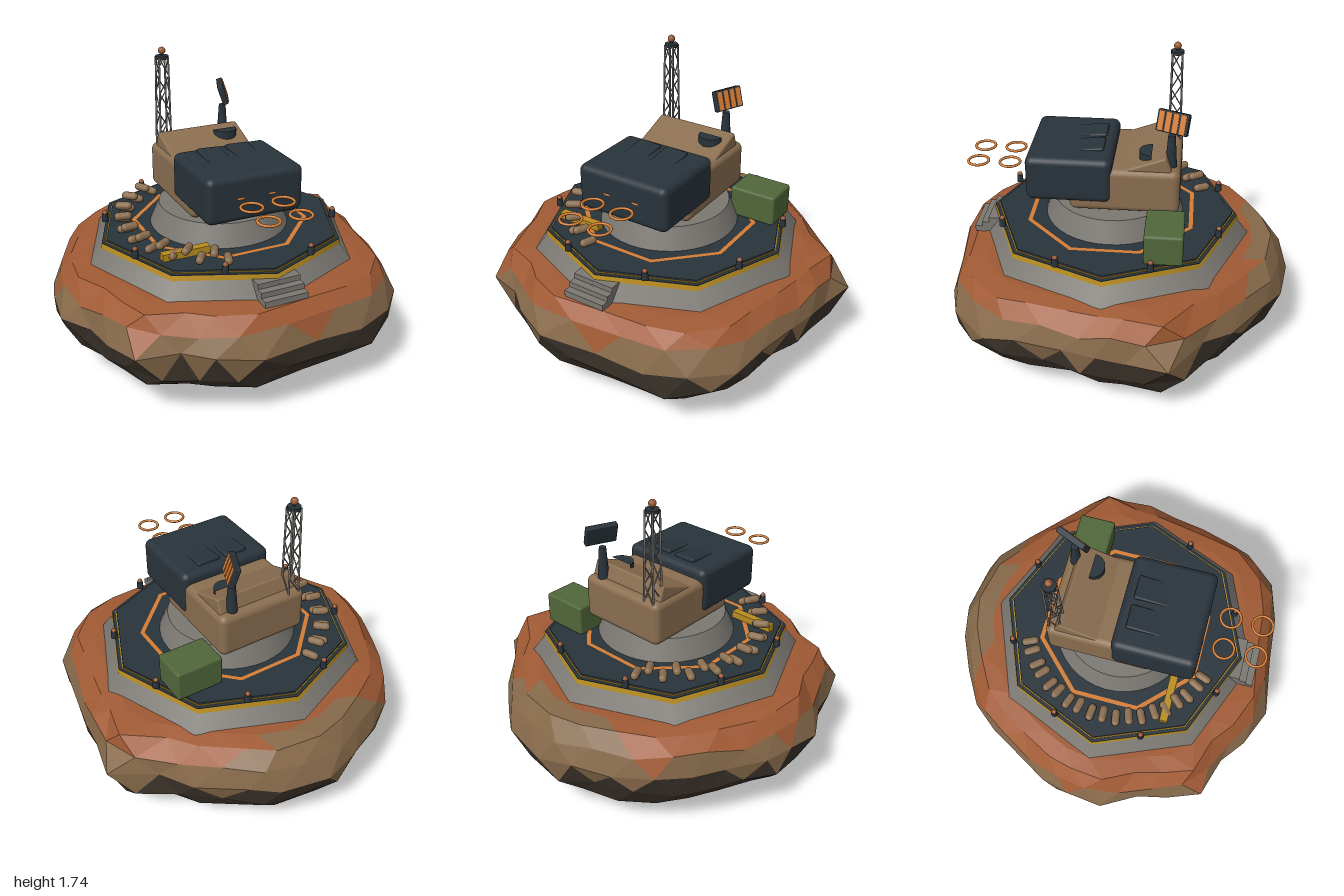
import * as THREE from 'three';
import { RoundedBoxGeometry } from 'three/addons/geometries/RoundedBoxGeometry.js';

const mat = (name, color, extra = {}) => Object.assign(new THREE.MeshStandardMaterial({ color, ...extra }), { name });

export function createModel() {
  const root = new THREE.Group();
  root.name = 'outpost';
  const M = {
    rust: mat('rust rock', 0xa05a34, { flatShading: true }),
    copper: mat('copper', 0x9a5a35),
    tan: mat('tan', 0x8a6e50),
    tanRock: mat('tan rock', 0x86694a, { flatShading: true }),
    dark: mat('dark rock', 0x3c332b, { flatShading: true }),
    concrete: mat('concrete', 0x7b7872),
    slate: mat('slate', 0x29333b),
    gold: mat('gold', 0xb98d20),
    orange: mat('orange', 0xd67d33),
    green: mat('green', 0x50673a),
  };
  // The mast shares the concrete hue family but is lighter than the rest
  const add = (name, geo, material, x = 0, y = 0, z = 0, parent = root) => {
    const m = new THREE.Mesh(geo, material);
    m.name = name;
    m.position.set(x, y, z);
    parent.add(m);
    return m;
  };
  const CZ = 0.03; // centre of the deck along z

  // Rock: staggered rings around an uneven outline of [x, z] points, split into three colours
  let seed = 7;
  const rand = () => (seed = (seed * 16807) % 2147483647) / 2147483647 - 0.5;
  const outline = [[0.94, 0.04], [0.91, 0.22], [0.86, 0.48], [0.82, 0.66], [0.64, 0.85], [0.42, 0.92],
    [0.14, 0.94], [-0.2, 0.985], [-0.42, 0.89], [-0.56, 0.78], [-0.78, 0.71], [-0.85, 0.52], [-0.89, 0.35],
    [-1, 0.15], [-0.98, -0.06], [-0.94, -0.22], [-0.82, -0.43], [-0.73, -0.59], [-0.61, -0.74], [-0.41, -0.86],
    [-0.21, -0.95], [0, -1], [0.28, -0.95], [0.42, -0.85], [0.65, -0.67], [0.77, -0.51], [1, -0.34], [0.95, -0.11]];
  const N = outline.length;
  // [y, fraction of the outline, jitter]
  const rings = [[0.652, 0.79, 0], [0.638, 0.885, 0.02], [0.55, 0.965, 0.05], [0.44, 1, 0.05],
    [0.31, 0.975, 0.07], [0.2, 0.885, 0.05], [0.11, 0.73, 0.03], [0.04, 0.54, 0.02], [0, 0.38, 0]];
  const P = rings.map(([y, f, j], i) => outline.map(([x, z], k) => {
    const [nx, nz] = i % 2 ? [x, z] : outline[(k + 1) % N];
    const r = (f / 2) * (1 + (i === 3 ? 0 : rand() * j * 0.6));
    return [(x + nx) * r, y + rand() * j, (z + nz) * r];
  }));
  const faces = { rust: [], tanRock: [], dark: [] };
  const tri = (a, b, c) => {
    const y = (a[1] + b[1] + c[1]) / 3 + rand() * 0.05;
    const back = (a[2] + b[2] + c[2]) / 3 < -0.77;
    faces[y > 0.535 && !back ? 'rust' : y > 0.4 ? 'tanRock' : 'dark'].push(...a, ...b, ...c);
  };
  const last = rings.length - 1;
  for (let k = 0; k < N; k++) {
    const n = (k + 1) % N;
    tri([0, 0.652, 0], P[0][n], P[0][k]);
    tri([0, 0, 0], P[last][k], P[last][n]);
    for (let i = 0; i < last; i++) {
      const A = P[i], C = P[i + 1];
      if (i % 2) { tri(A[k], A[n], C[k]); tri(A[n], C[n], C[k]); }
      else { tri(A[k], A[n], C[n]); tri(A[k], C[n], C[k]); }
    }
  }
  for (const key in faces) {
    const g = new THREE.BufferGeometry();
    g.setAttribute('position', new THREE.Float32BufferAttribute(faces[key], 3));
    g.computeVertexNormals();
    add(key + 'Facets', g, M[key]);
  }

  // Octagonal foundation, gold edge, dark cap, gold line and raised deck, with corners on the axes
  const octagon = (name, rTop, rBottom, y0, y1, m) =>
    add(name, new THREE.CylinderGeometry(rTop, rBottom, y1 - y0, 8), m, 0, (y0 + y1) / 2, CZ);
  octagon('foundation', 0.715, 0.787, 0.645, 0.737, M.concrete);
  octagon('deckTrim', 0.712, 0.718, 0.737, 0.764, M.gold);
  octagon('deckCap', 0.712, 0.712, 0.764, 0.768, M.slate);
  octagon('deckTrimLine', 0.692, 0.692, 0.768, 0.772, M.gold);
  octagon('deck', 0.684, 0.686, 0.768, 0.782, M.slate);

  // Painted octagon line on the deck
  const line = new THREE.RingGeometry(0.483, 0.508, 8, 1, Math.PI / 8);
  line.rotateX(-Math.PI / 2);
  add('deckLine', line, M.orange, 0, 0.785, CZ + 0.01);

  // Front steps
  for (let i = 0; i < 3; i++) {
    const front = 0.845 - i * 0.042, top = 0.68 + i * 0.03;
    add('step', new THREE.BoxGeometry(0.25, top - 0.645, front - 0.68), M.concrete, 0, (top + 0.645) / 2, (front + 0.68) / 2);
  }

  // Bollards with round lamps around the deck
  for (let i = 0; i < 8; i++) {
    const a = ((i + 0.5) / 8) * Math.PI * 2, x = Math.cos(a) * 0.66, z = CZ + 0.005 + Math.sin(a) * 0.66;
    add('bollard', new THREE.CylinderGeometry(0.017, 0.02, 0.046, 12), M.slate, x, 0.802, z);
    add('bollardLamp', new THREE.SphereGeometry(0.015, 12, 8), M.copper, x, 0.828, z);
  }

  // Arc of sandbags, alternating between two heights
  const bag = new THREE.CapsuleGeometry(0.023, 0.055, 4, 12).rotateZ(Math.PI / 2);
  for (let i = 0; i < 19; i++) {
    const a = THREE.MathUtils.degToRad(-65 + i * 7.5);
    const b = add('sandbag', bag, M.tan, -Math.cos(a) * 0.555, i % 2 ? 0.848 : 0.805, CZ + Math.sin(a) * 0.555);
    b.rotation.y = a;
  }
  add('goldBeam', new THREE.BoxGeometry(0.27, 0.04, 0.045), M.gold, -0.365, 0.804, 0.39);

  // Pedestal and turret body
  add('pedestal', new THREE.CylinderGeometry(0.345, 0.4, 0.13, 40), M.concrete, 0, 0.84, CZ);
  add('turretBody', new RoundedBoxGeometry(0.54, 0.26, 0.61, 4, 0.04), M.tan, 0, 1.043, -0.045);
  const roof = add('slopedRoof', new RoundedBoxGeometry(0.5, 0.1, 0.24, 2, 0.012), M.tan, 0, 1.163, -0.175);
  roof.rotation.x = 0.36;
  // Half-round hatch, curved towards the front
  add('hatch', new THREE.CylinderGeometry(0.07, 0.07, 0.06, 24, 1, false, -Math.PI / 2, Math.PI), M.slate, 0.14, 1.213, -0.19);

  // Turret head with two sloped top plates
  add('turretHead', new RoundedBoxGeometry(0.565, 0.262, 0.475, 4, 0.04), M.slate, 0, 1.1, 0.258);
  for (const x of [-0.09, 0.085]) {
    const plate = add('topPlate', new RoundedBoxGeometry(0.14, 0.03, 0.25, 2, 0.01), M.slate, x, 1.221, 0.2);
    plate.rotation.set(0.11, 0, -0.04);
  }

  // Floating rings ahead of the head
  const ring = new THREE.TorusGeometry(0.057, 0.0075, 10, 28).rotateX(Math.PI / 2);
  for (const x of [-0.092, 0.092])
    for (const z of [0.435, 0.615, 0.795]) add('muzzleRing', ring, M.orange, x, 1.103, z);

  // Supply crate
  add('supplyCrate', new RoundedBoxGeometry(0.278, 0.18, 0.21, 2, 0.015), M.green, 0.427, 0.87, -0.28);

  // Lattice mast with cap and beacon
  const mast = new THREE.Group();
  mast.name = 'mast';
  mast.position.set(-0.2, 0, -0.3);
  root.add(mast);
  const strut = (a, b, r) => {
    const d = b.clone().sub(a);
    const m = add('strut', new THREE.CylinderGeometry(r, r, d.length(), 14), M.concrete, 0, 0, 0, mast);
    m.position.copy(a).addScaledVector(d, 0.5);
    m.quaternion.setFromUnitVectors(new THREE.Vector3(0, 1, 0), d.normalize());
  };
  const corner = (k, t) => {
    const a = (k + 0.5) * Math.PI / 2, r = 0.047 - 0.009 * t;
    return new THREE.Vector3(Math.cos(a) * r, 1.16 + 0.52 * t, Math.sin(a) * r);
  };
  const bays = 5;
  for (let k = 0; k < 4; k++) {
    strut(corner(k, 0), corner(k, 1), 0.0055);
    for (let i = 0; i < bays; i++)
      strut(corner(k + (i % 2), i / bays), corner(k + 1 - (i % 2), (i + 1) / bays), 0.0035);
  }
  add('mastCap', new THREE.CylinderGeometry(0.037, 0.037, 0.018, 20), M.slate, 0, 1.679, 0, mast);
  add('beaconStem', new THREE.CylinderGeometry(0.008, 0.008, 0.03, 12), M.slate, 0, 1.697, 0, mast);
  add('beacon', new THREE.SphereGeometry(0.021, 16, 12), M.copper, 0, 1.716, 0, mast);

  // Sensor panel on a tapered post
  add('panelPost', new THREE.CylinderGeometry(0.02, 0.034, 0.21, 20), M.slate, 0.175, 1.25, -0.295);
  const panel = new THREE.Group();
  panel.name = 'sensorPanel';
  panel.position.set(0.178, 1.433, -0.3);
  panel.rotation.set(-0.32, 1.17, 0, 'YXZ');
  root.add(panel);
  add('panelFrame', new RoundedBoxGeometry(0.18, 0.118, 0.035, 2, 0.006), M.slate, 0, 0, 0, panel);
  for (let i = 0; i < 4; i++)
    add('panelStripe', new THREE.BoxGeometry(0.031, 0.104, 0.006), M.orange, (i - 1.5) * 0.042, 0, 0.0185, panel);

  return root;
}
